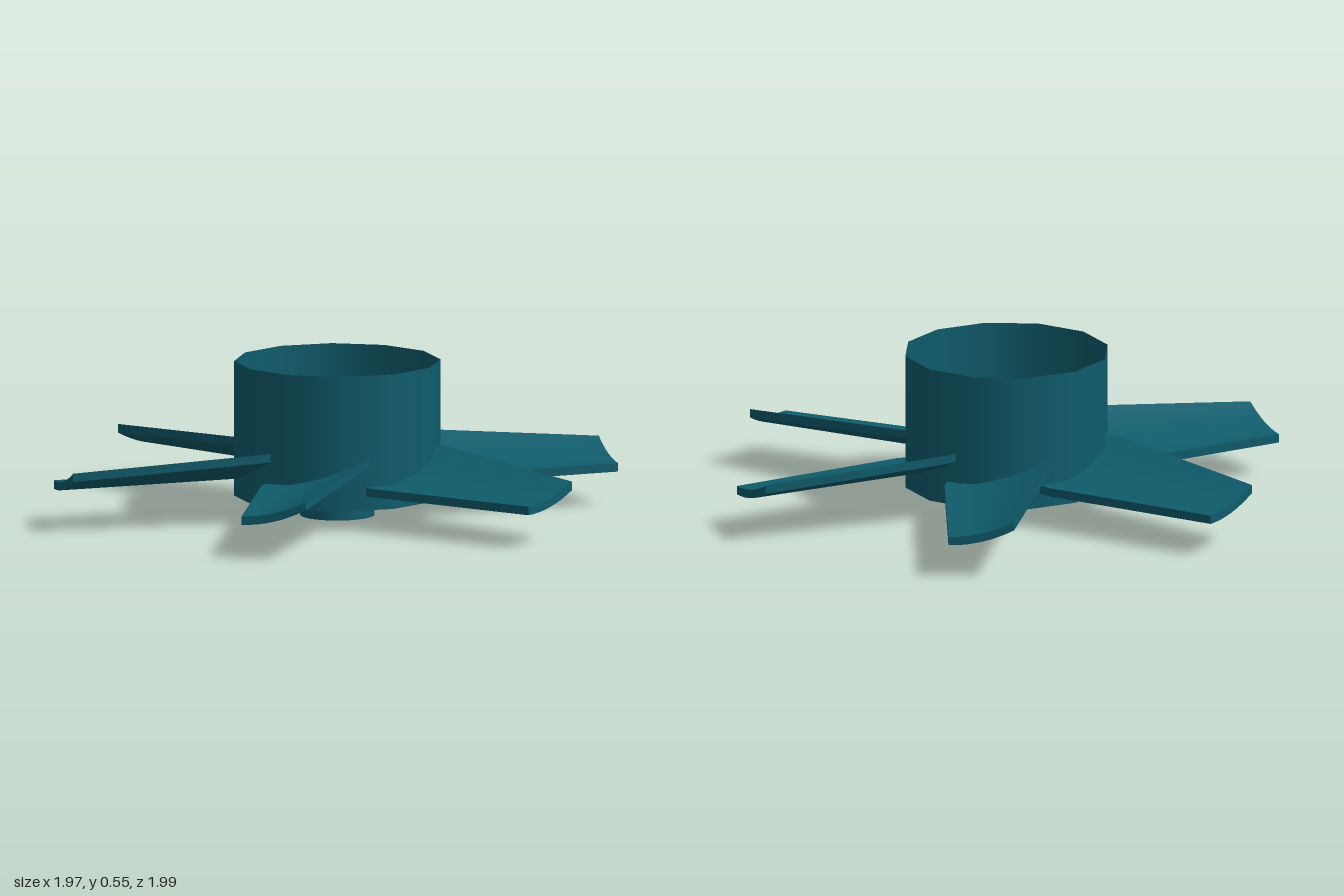
import * as THREE from 'three';
import { toCreasedNormals } from 'three/addons/utils/BufferGeometryUtils.js';

const material = new THREE.MeshStandardMaterial({ color: 0x0f5c6c, side: THREE.DoubleSide });

function part(name, geometry, y = 0, z = 0) {
  const mesh = new THREE.Mesh(geometry, material);
  mesh.name = name;
  mesh.position.set(0, y, z);
  return mesh;
}

// Tapered, scooped blade along +x: one long edge lies flat, the other curls up
function bladeGeometry() {
  const stations = [ // distance from axis, half width, rise of the curled edge
    [0.225, 0.178, 0.11],
    [0.34, 0.19, 0.105],
    [0.993, 0.115, 0.06],
  ];
  const geometry = new THREE.BoxGeometry(2, 1, 2, 2, 1, 8);
  const p = geometry.attributes.position;
  for (let i = 0; i < p.count; i++) {
    const [u, halfWidth, rise] = stations[Math.round(p.getX(i) + 1)];
    const v = p.getZ(i);
    const s = (1 - v) / 2;
    const bottom = 0.12 + rise * s * s;
    p.setXYZ(i, u, bottom + (p.getY(i) > 0 ? 0.03 : 0), v * halfWidth);
  }
  return toCreasedNormals(geometry, 0.6);
}

export function createModel() {
  const model = new THREE.Group();
  model.name = 'fan';

  // Open-topped twelve-sided hub with a floor
  const hub = new THREE.Group();
  hub.name = 'hub';
  hub.add(
    part('hubWall', new THREE.CylinderGeometry(0.36, 0.36, 0.475, 12, 1, true), 0.3075, 0.008),
    part('hubFloor', new THREE.CircleGeometry(0.36, 12).rotateX(Math.PI / 2), 0.07, 0.008),
  );
  model.add(hub);

  // Short shaft below the hub
  model.add(part('shaft', new THREE.CylinderGeometry(0.13, 0.13, 0.07, 24), 0.035, 0.008));

  // Six blades at slightly uneven spacing
  const blade = bladeGeometry();
  for (const degrees of [99.7, 42.8, -16, -74.4, -135.7, 164]) {
    const mesh = part('blade', blade);
    mesh.rotation.y = THREE.MathUtils.degToRad(degrees);
    model.add(mesh);
  }
  return model;
}
